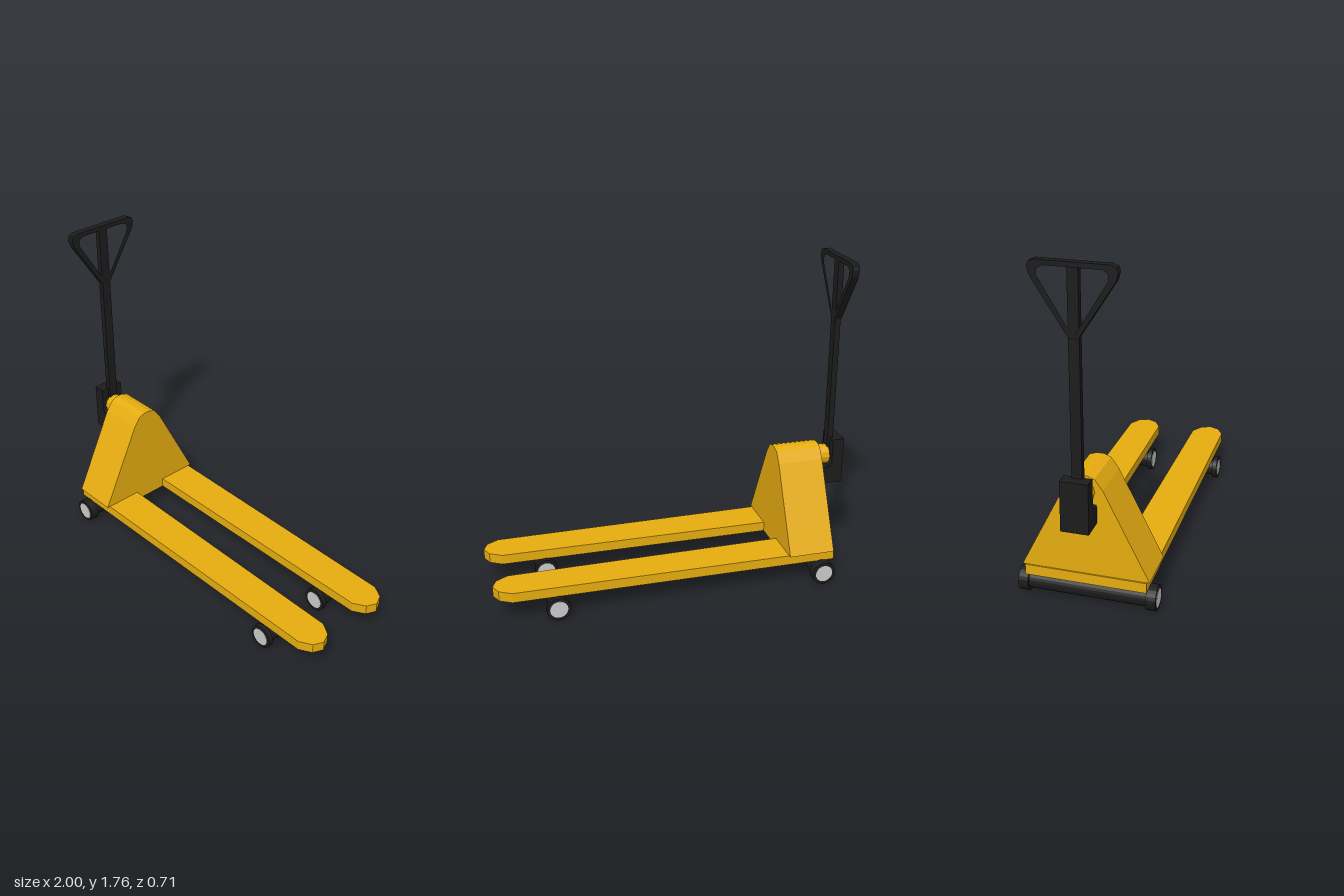
import * as THREE from 'three';

const yellow = new THREE.MeshStandardMaterial({ color: 0xe6ac10, flatShading: true });
const black = new THREE.MeshStandardMaterial({ color: 0x1c1c1c, flatShading: true });
const grey = new THREE.MeshStandardMaterial({ color: 0xcccccc });

const toPoints = (pts) => pts.map(([a, b]) => new THREE.Vector2(a, b));
// Right half of an outline, top to bottom, completed by its mirror image
const mirrored = (half) => [...half, ...half.map(([a, b]) => [-a, b]).reverse()];
const extrude = (shape, depth) =>
  new THREE.ExtrudeGeometry(shape, { depth, bevelEnabled: false });

export function createModel() {
  const model = new THREE.Group();
  model.name = 'palletTruck';

  const add = (name, geometry, material, x = 0, y = 0, z = 0, parent = model) => {
    const mesh = new THREE.Mesh(geometry, material);
    mesh.name = name;
    mesh.position.set(x, y, z);
    parent.add(mesh);
    return mesh;
  };
  // Box given by its limits on each axis
  const addBox = (name, material, [x0, x1], [y0, y1], [z0, z1]) =>
    add(name, new THREE.BoxGeometry(x1 - x0, y1 - y0, z1 - z0), material,
      (x0 + x1) / 2, (y0 + y1) / 2, (z0 + z1) / 2);

  // Forks: slightly tapering plates with faceted tips
  for (const side of [1, -1]) {
    const outline = [
      [-0.87, 0.1], [-0.61, 0.1], [0.91, 0.112], [0.975, 0.15], [1, 0.205],
      [0.975, 0.26], [0.91, 0.297], [-0.61, 0.308], [-0.87, 0.31],
    ].map(([x, z]) => [x, z * side]);
    const geometry = extrude(new THREE.Shape(toPoints(outline)), 0.055).rotateX(-Math.PI / 2);
    add(side < 0 ? 'leftFork' : 'rightFork', geometry, yellow, 0, 0.125, 0);
  }
  addBox('forkBridge', yellow, [-0.87, -0.61], [0.125, 0.18], [-0.1, 0.1]);

  // Housing: triangular prism with a rounded ridge
  const housing = new THREE.Shape(toPoints(mirrored([
    [0.018, 0.708], [0.055, 0.695], [0.095, 0.64], [0.325, 0.18],
  ])));
  add('housing', extrude(housing, 0.255).rotateY(Math.PI / 2), yellow, -0.863, 0, 0);

  // Tiller pivot and its L-shaped bracket
  add('pivotBoss', new THREE.CylinderGeometry(0.056, 0.056, 0.075, 12).rotateZ(Math.PI / 2),
    yellow, -0.89, 0.628, 0);
  const bracket = new THREE.Shape(toPoints([
    [-1, 0.475], [-0.88, 0.475], [-0.88, 0.572], [-0.92, 0.572],
    [-0.935, 0.6], [-0.935, 0.735], [-1, 0.735],
  ]));
  add('tillerBracket', extrude(bracket, 0.14), black, 0, 0, -0.07);

  // Tiller shaft and triangular loop handle
  addBox('tillerShaft', black, [-0.952, -0.92], [0.56, 1.74], [-0.026, 0.026]);
  const loop = new THREE.Shape(toPoints(mirrored([
    [0.175, 1.76], [0.2, 1.75], [0.207, 1.728], [0.198, 1.69], [0.022, 1.415],
  ])));
  loop.holes.push(new THREE.Path(toPoints(mirrored([
    [0.135, 1.736], [0.16, 1.722], [0.163, 1.69], [0.008, 1.435],
  ]))));
  add('handleLoop', extrude(loop, 0.038).rotateY(Math.PI / 2), black, -0.957, 0, 0);

  // Rollers: a spool with raised rims and grey end caps, lying along z
  const addRoller = (name, x, z, half, rim) => {
    const roller = new THREE.Group();
    roller.name = name;
    roller.position.set(x, 0.065, z);
    model.add(roller);
    const profile = toPoints([
      [0, -half], [0.065, -half], [0.065, -half + rim], [0.05, -half + rim],
      [0.05, half - rim], [0.065, half - rim], [0.065, half], [0, half],
    ]);
    add('spool', new THREE.LatheGeometry(profile, 24).rotateX(Math.PI / 2), black, 0, 0, 0, roller);
    add('endCaps', new THREE.CylinderGeometry(0.048, 0.048, 2 * half + 0.004, 24)
      .rotateX(Math.PI / 2), grey, 0, 0, 0, roller);
  };
  addRoller('steerRoller', -0.8, 0, 0.353, 0.05);
  addRoller('leftLoadRoller', 0.675, -0.205, 0.124, 0.026);
  addRoller('rightLoadRoller', 0.675, 0.205, 0.124, 0.026);

  return model;
}
